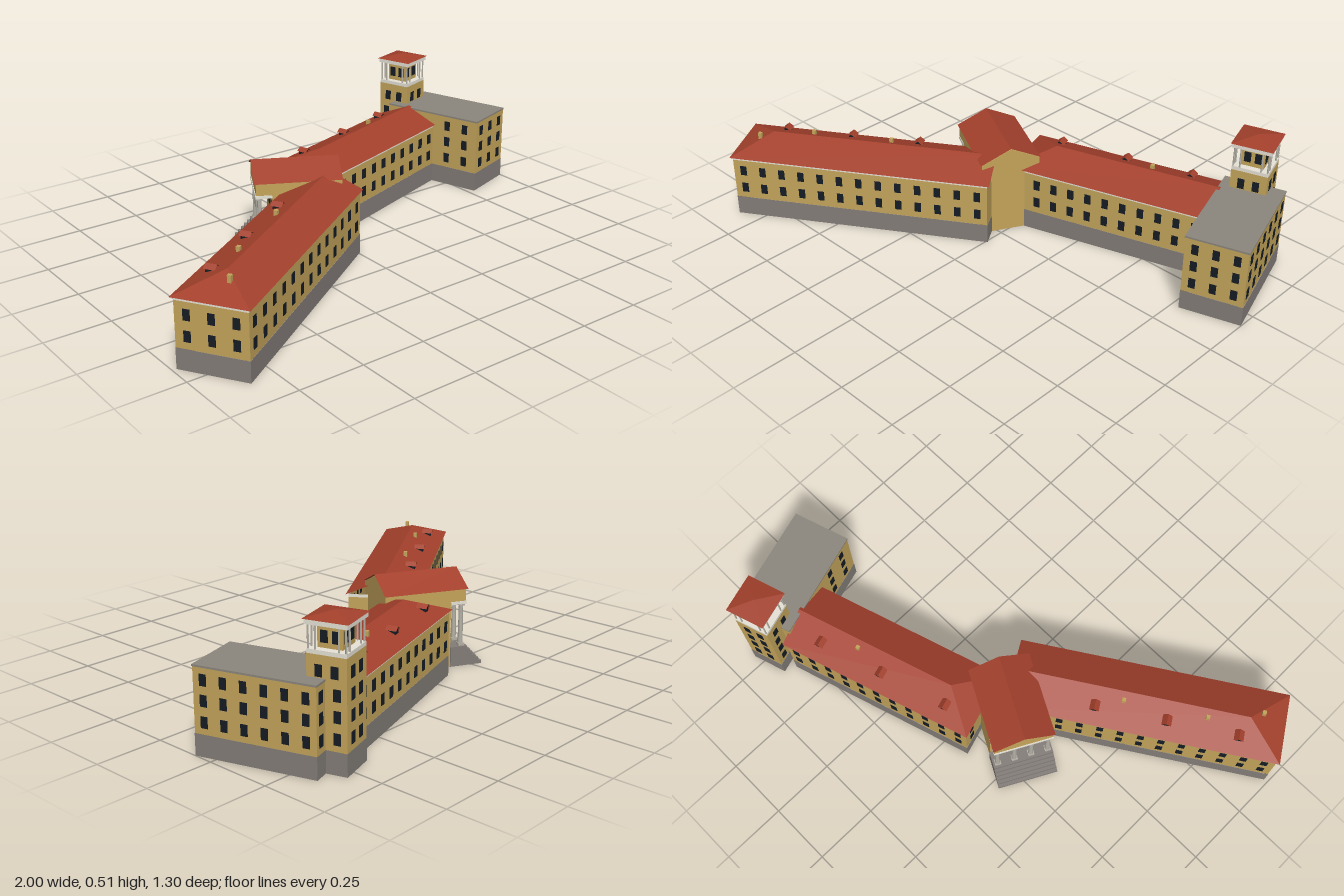
import * as THREE from 'three';
import { mergeGeometries } from 'three/addons/utils/BufferGeometryUtils.js';

const mat = (color) => new THREE.MeshStandardMaterial({ color, side: THREE.DoubleSide, flatShading: true });
const M = {
  wall: mat(0xc4a45a), base: mat(0x837d78), roof: mat(0xa3402c), flat: mat(0x8c877d),
  glass: mat(0x151c24), trim: mat(0xe6e2d6), column: mat(0xb4b0a6),
};

function add(parent, name, geometry, material, x = 0, y = 0, z = 0) {
  const mesh = new THREE.Mesh(geometry, material);
  mesh.name = name;
  mesh.position.set(x, y, z);
  parent.add(mesh);
  return mesh;
}

function frame(parent, name, x, z, angle) {
  const g = new THREE.Group();
  g.name = name;
  g.position.set(x, 0, z);
  g.rotation.y = angle;
  parent.add(g);
  return g;
}

// Box between two heights
function box(parent, name, material, x0, x1, y0, y1, z0, z1) {
  return add(parent, name, new THREE.BoxGeometry(x1 - x0, y1 - y0, z1 - z0), material,
    (x0 + x1) / 2, (y0 + y1) / 2, (z0 + z1) / 2);
}

// Four walls without floor or ceiling
function walls(...args) {
  const mesh = box(...args);
  const i = Array.from(mesh.geometry.index.array);
  mesh.geometry.setIndex([...i.slice(0, 12), ...i.slice(24)]);
  return mesh;
}

// Pitched roof shell along x; hip0 and hip1 pull the ridge ends inwards
function roof(parent, name, x0, x1, hw, y0, y1, hip0, hip1) {
  const A = [x0, y0, -hw], B = [x0, y0, hw], C = [x1, y0, hw], D = [x1, y0, -hw];
  const R = [x0 + hip0, y1, 0], S = [x1 - hip1, y1, 0];
  const faces = [B, C, S, B, S, R, D, A, R, D, R, S];
  if (hip0) faces.push(A, B, R);
  if (hip1) faces.push(C, D, S);
  const g = new THREE.BufferGeometry();
  g.setAttribute('position', new THREE.Float32BufferAttribute(faces.flat(), 3));
  g.computeVertexNormals();
  return add(parent, name, g, M.roof);
}

// Grid of windows on a wall centred at x, z and facing the given angle
function windows(parent, x, z, angle, length, count, rows) {
  const parts = [];
  for (const y of rows) {
    for (let i = 0; i < count; i++) {
      const g = new THREE.BoxGeometry(0.025, 0.04, 0.004);
      g.translate(((i + 0.5) / count - 0.5) * length, y, 0);
      parts.push(g);
    }
  }
  const mesh = add(parent, 'windows', mergeGeometries(parts), M.glass, x, 0, z);
  mesh.rotation.y = angle;
}

const BASE = 0.078, WALL = 0.245, EAVE = 0.257, RIDGE = 0.316, HALF = 0.138;

function wing(parent, name, angle, mid, x0, x1, hip, count, dormers, chimneys) {
  const g = frame(parent, name, mid * Math.sin(angle), mid * Math.cos(angle), angle);
  const a = x0 + 0.01, b = x1 - 0.01, w = HALF - 0.01, c = (a + b) / 2;
  walls(g, 'plinth', M.base, a - 0.001, b + 0.001, 0, BASE, -w - 0.001, w + 0.001);
  walls(g, 'walls', M.wall, a, b, BASE, WALL, -w, w);
  walls(g, 'cornice', M.trim, a, b, WALL, EAVE, -w, w);
  roof(g, 'roof', x0, x1, HALF, EAVE, RIDGE, hip, 0);
  const rows = [0.124, 0.2];
  windows(g, c, w, 0, b - a, count, rows);
  windows(g, c, -w, Math.PI, b - a, count, rows);
  windows(g, a, 0, -Math.PI / 2, 2 * w, 3, rows);
  // Dormers on the rear slope
  for (const x of dormers) {
    const d = frame(g, 'dormer', x, -0.07, Math.PI / 2);
    roof(d, 'dormerRoof', -0.02, 0.022, 0.018, 0.293, 0.307, 0, 0);
    box(d, 'dormerWindow', M.glass, -0.01, 0.017, 0.27, 0.295, -0.012, 0.012);
  }
  for (const [x, z] of chimneys) box(g, 'chimney', M.wall, x - 0.007, x + 0.007, 0.28, 0.32, z - 0.007, z + 0.007);
  return g;
}

// House-shaped solid along x
function gableBlock(parent, name, x0, x1, y0, hw, eave, peak) {
  const s = new THREE.Shape([[-hw, y0], [hw, y0], [hw, eave], [0, peak], [-hw, eave]].map(p => new THREE.Vector2(...p)));
  const geo = new THREE.ExtrudeGeometry(s, { depth: x1 - x0, bevelEnabled: false });
  geo.rotateY(Math.PI / 2);
  return add(parent, name, geo, M.wall, x0);
}

function centralPavilion(parent) {
  const g = frame(parent, 'centralPavilion', -0.14, -0.1275, -0.495);
  gableBlock(g, 'hall', -0.1, 0.163, 0, 0.114, 0.303, 0.356);
  gableBlock(g, 'pediment', -0.16, -0.1, 0.255, 0.114, 0.303, 0.356);
  roof(g, 'gableRoof', -0.168, 0.165, 0.119, 0.304, 0.36, 0, 0);
  box(g, 'entablature', M.trim, -0.163, -0.1, 0.245, 0.257, -0.116, 0.116);
  box(g, 'porticoFloor', M.base, -0.168, -0.1, 0, BASE, -0.118, 0.118);
  // Portico columns
  for (let i = 0; i < 4; i++) {
    const z = (i - 1.5) * 0.066;
    add(g, 'column', new THREE.CylinderGeometry(0.008, 0.01, 0.167, 10), M.column, -0.147, 0.1615, z);
    box(g, 'columnBase', M.column, -0.159, -0.135, BASE, 0.088, z - 0.012, z + 0.012);
    box(g, 'capital', M.column, -0.158, -0.136, 0.237, 0.246, z - 0.011, z + 0.011);
  }
  box(g, 'entranceDoor', M.glass, -0.102, -0.098, BASE, 0.14, -0.018, 0.018);
  windows(g, -0.1, 0, -Math.PI / 2, 0.2, 3, [0.2]);
  // Entrance steps
  for (let i = 0; i < 5; i++) {
    box(g, 'step', M.base, -0.18 - i * 0.012, -0.168 - i * 0.012, 0, BASE * (5 - i) / 6, -0.118, 0.118);
  }
}

function endBlock(g) {
  const x0 = 0.777, x1 = 1.006, z0 = -0.305, z1 = 0.128;
  const cx = (x0 + x1) / 2, cz = (z0 + z1) / 2, rows = [0.12, 0.193, 0.263];
  walls(g, 'blockPlinth', M.base, x0 - 0.001, x1 + 0.001, 0, BASE, z0 - 0.001, z1 + 0.001);
  walls(g, 'blockWalls', M.wall, x0, x1, BASE, 0.305, z0, z1);
  box(g, 'flatRoof', M.flat, x0 - 0.002, x1 + 0.002, 0.304, 0.311, z0 - 0.002, z1 + 0.002);
  windows(g, x1, cz, Math.PI / 2, z1 - z0, 6, rows);
  windows(g, cx, z1, 0, x1 - x0, 3, rows);
  windows(g, x0, 0.028, -Math.PI / 2, 0.17, 2, rows);
  windows(g, 0.978, z0, Math.PI, 0.05, 1, rows);
}

function tower(g) {
  const t = frame(g, 'tower', 0.88, -0.311, 0), h = 0.0685;
  walls(t, 'towerPlinth', M.base, -h - 0.001, h + 0.001, 0, BASE, -h - 0.001, h + 0.001);
  walls(t, 'towerWalls', M.wall, -h, h, BASE, 0.386, -h, h);
  box(t, 'towerCornice', M.trim, -h, h, 0.386, 0.4, -h, h);
  box(t, 'belvedere', M.wall, -0.043, 0.043, 0.4, 0.478, -0.043, 0.043);
  box(t, 'belvedereCornice', M.trim, -0.073, 0.073, 0.478, 0.495, -0.073, 0.073);
  roof(t, 'towerRoof', -0.078, 0.078, 0.078, 0.495, 0.514, 0.077, 0.077);
  for (let k = 0; k < 4; k++) {
    const a = k * Math.PI / 2, s = Math.sin(a), c = Math.cos(a);
    windows(t, h * s, h * c, a, 0.11, 2, k === 2 ? [0.12, 0.193, 0.263, 0.335] : [0.335]);
    windows(t, 0.043 * s, 0.043 * c, a, 0.08, 2, [0.437]);
    // Belvedere columns, clustered towards the corners
    for (const u of [-0.064, -0.04, 0.04]) {
      add(t, 'belvedereColumn', new THREE.CylinderGeometry(0.0035, 0.0035, 0.078, 6), M.column,
        0.064 * s + u * c, 0.439, 0.064 * c - u * s);
    }
  }
  windows(t, -h, -0.035, -Math.PI / 2, 0.06, 1, [0.12, 0.193, 0.263]);
  windows(t, h, -0.035, Math.PI / 2, 0.06, 1, [0.12, 0.193, 0.263]);
}

export function createModel() {
  const model = new THREE.Group();
  model.name = 'institutionBuilding';
  wing(model, 'longWing', 0.569, -0.055, -1.06, -0.029, HALF, 13,
    [-0.893, -0.624, -0.353], [[-0.968, 0.029], [-0.768, -0.033], [-0.454, -0.034]]);
  wing(model, 'towerWing', 0.304, -0.213, -0.006, 0.788, HALF, 11,
    [0.121, 0.393, 0.654], [[0.513, -0.03]]);
  centralPavilion(model);
  const end = frame(model, 'endPavilion', 0, 0, 0.304);
  endBlock(end);
  tower(end);
  return model;
}
